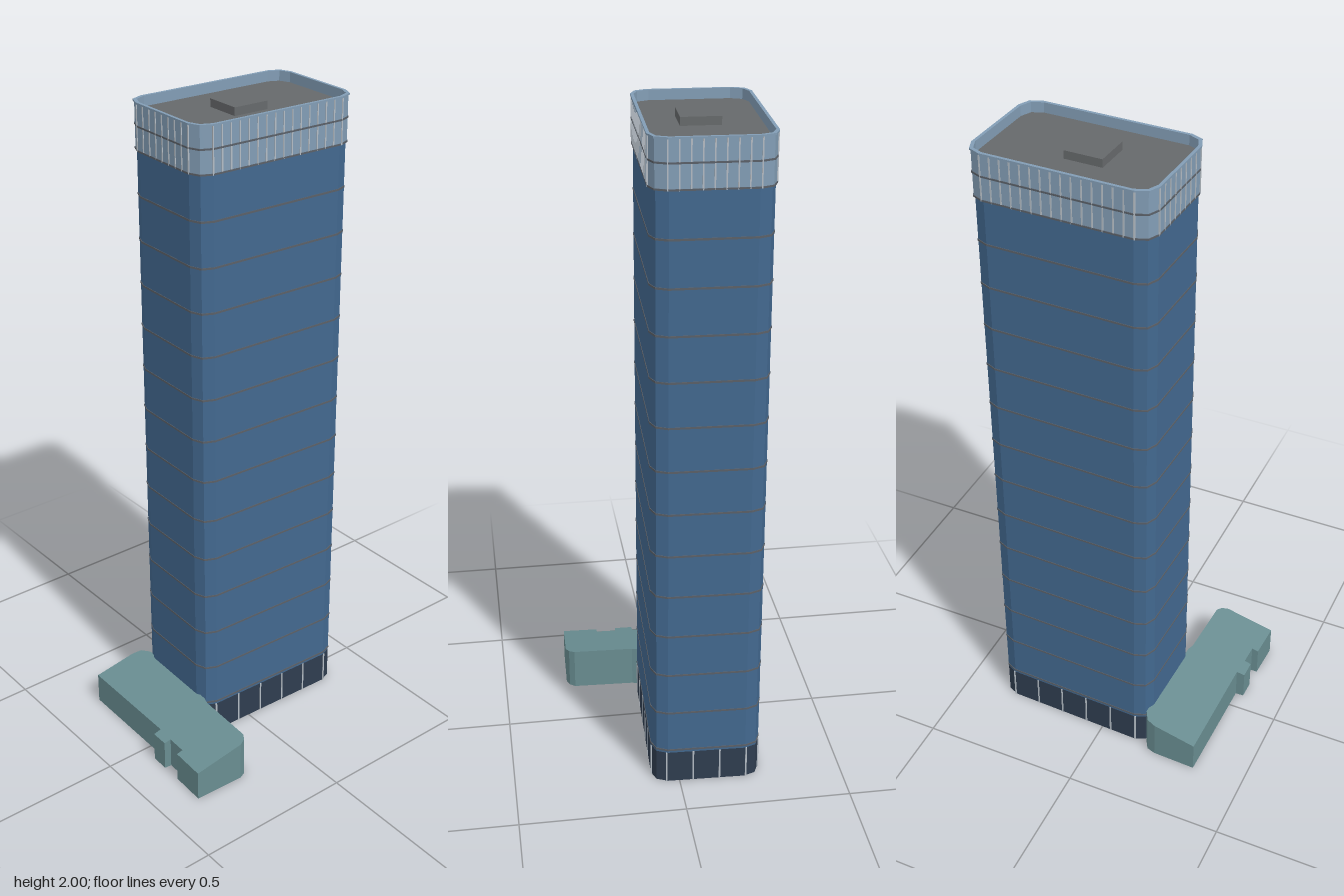
import * as THREE from 'three';

const material = (color) => new THREE.MeshStandardMaterial({ color, flatShading: true, side: THREE.DoubleSide });
const glass = material(0x42688f);
const darkGlass = material(0x2f3d4f);
const crownGlass = material(0x829db5);
const trim = material(0x5a6068);
const lightTrim = material(0xb4bcc4);
const roofGrey = material(0x66696b);
const podiumTeal = material(0x698d91);

// Half sizes of the tower at its widest, and its corner radius
const HX = 0.2725, HZ = 0.172, R = 0.05;

function addMesh(parent, name, geometry, mat) {
  const mesh = new THREE.Mesh(geometry, mat);
  mesh.name = name;
  parent.add(mesh);
  return mesh;
}

// Tower outline pulled in by d, each corner rounded in two facets
function outline(d) {
  const r = R - d * 0.4, points = [];
  [[1, 1], [-1, 1], [-1, -1], [1, -1]].forEach(([sx, sz], corner) => {
    for (let i = 0; i < 3; i++) {
      const a = (corner + i / 2) * Math.PI / 2;
      points.push(new THREE.Vector2(
        sx * (HX - d - r) + r * Math.cos(a),
        sz * (HZ - d - r) + r * Math.sin(a)));
    }
  });
  return points;
}

// Storey-like slab from y0 to y1; hollow when an inner inset is given
function slab(parent, name, inset, y0, y1, mat, inner) {
  const shape = new THREE.Shape(outline(inset));
  if (inner !== undefined) shape.holes.push(new THREE.Path(outline(inner)));
  const geometry = new THREE.ExtrudeGeometry(shape, { depth: y1 - y0, bevelEnabled: false });
  geometry.rotateX(-Math.PI / 2).translate(0, y0, 0);
  return addMesh(parent, name, geometry, mat);
}

// Evenly spaced upright bars on the four straight sides
function uprights(parent, name, inset, y0, y1, nx, nz, width, mat) {
  const group = new THREE.Group();
  group.name = name;
  const bar = new THREE.BoxGeometry(width, y1 - y0, width);
  const place = (x, z) => addMesh(group, 'upright', bar, mat).position.set(x, (y0 + y1) / 2, z);
  for (const s of [-1, 1]) {
    for (let i = 0; i < nx; i++) place((i / (nx - 1) * 2 - 1) * (HX - R), s * (HZ - inset));
    for (let i = 0; i < nz; i++) place(s * (HX - inset), (i / (nz - 1) * 2 - 1) * (HZ - R));
  }
  parent.add(group);
}

function buildTower() {
  const tower = new THREE.Group();
  tower.name = 'tower';

  // Hollow ground floor with pale mullions
  slab(tower, 'lobby', 0.006, 0, 0.105, darkGlass, 0.01);
  uprights(tower, 'lobbyMullions', 0.007, 0, 0.105, 6, 4, 0.005, lightTrim);

  // Glazed shaft and its floor bands
  slab(tower, 'shaft', 0.006, 0.105, 1.86, glass);
  for (let i = 0; i < 13; i++) {
    const y = 0.115 + i * 0.1345;
    slab(tower, 'floorBand', 0.0045, y - 0.003, y + 0.003, trim, 0.008);
  }

  // Crown screen with rails and fins
  slab(tower, 'crownScreen', 0.003, 1.86, 1.996, crownGlass, 0.009);
  for (const y of [1.86, 1.93]) slab(tower, 'crownRail', 0.001, y, y + 0.005, trim, 0.006);
  slab(tower, 'crownCap', 0, 1.995, 2, crownGlass, 0.009);
  uprights(tower, 'crownFins', 0.003, 1.86, 1.996, 16, 9, 0.004, lightTrim);

  // Recessed roof deck and plant box
  slab(tower, 'roofDeck', 0.009, 1.86, 1.97, roofGrey);
  addMesh(tower, 'plantBox', new THREE.BoxGeometry(0.113, 0.024, 0.113), roofGrey)
    .position.set(-0.016, 1.982, 0.007);

  tower.position.set(0.098, 0, -0.0915);
  tower.rotation.y = -0.034;
  return tower;
}

// Low side building: open underneath, roof rising toward the tower
function buildPodium() {
  const plan = [
    [-0.337, -0.299], [-0.2, -0.294], [-0.172, -0.285], [-0.155, -0.255],
    [-0.168, 0.055], [-0.175, 0.078], [-0.183, 0.27], [-0.195, 0.287], [-0.215, 0.296],
    [-0.376, 0.29], [-0.371, 0.178], [-0.35, 0.178], [-0.348, 0.115], [-0.37, 0.113],
    [-0.369, 0.057], [-0.343, 0.056],
  ];
  const roofY = (x, z) => 0.097 + (x + 0.037 * z + 0.365) * 0.2;
  const podium = new THREE.Group();
  podium.name = 'podium';

  const roof = new THREE.ShapeGeometry(new THREE.Shape(plan.map(([x, z]) => new THREE.Vector2(x, -z))));
  roof.rotateX(-Math.PI / 2);
  const p = roof.attributes.position;
  for (let i = 0; i < p.count; i++) p.setY(i, roofY(p.getX(i), p.getZ(i)));
  roof.computeVertexNormals();
  addMesh(podium, 'podiumRoof', roof, podiumTeal);

  const corners = [];
  plan.forEach(([x, z], i) => {
    const [u, w] = plan[(i + 1) % plan.length];
    const a = [x, 0, z], b = [u, 0, w], c = [u, roofY(u, w), w], d = [x, roofY(x, z), z];
    corners.push(...a, ...c, ...b, ...a, ...d, ...c);
  });
  const walls = new THREE.BufferGeometry();
  walls.setAttribute('position', new THREE.Float32BufferAttribute(corners, 3));
  walls.computeVertexNormals();
  addMesh(podium, 'podiumWalls', walls, podiumTeal);
  return podium;
}

export function createModel() {
  const model = new THREE.Group();
  model.name = 'officeTower';
  model.add(buildTower(), buildPodium());
  return model;
}
